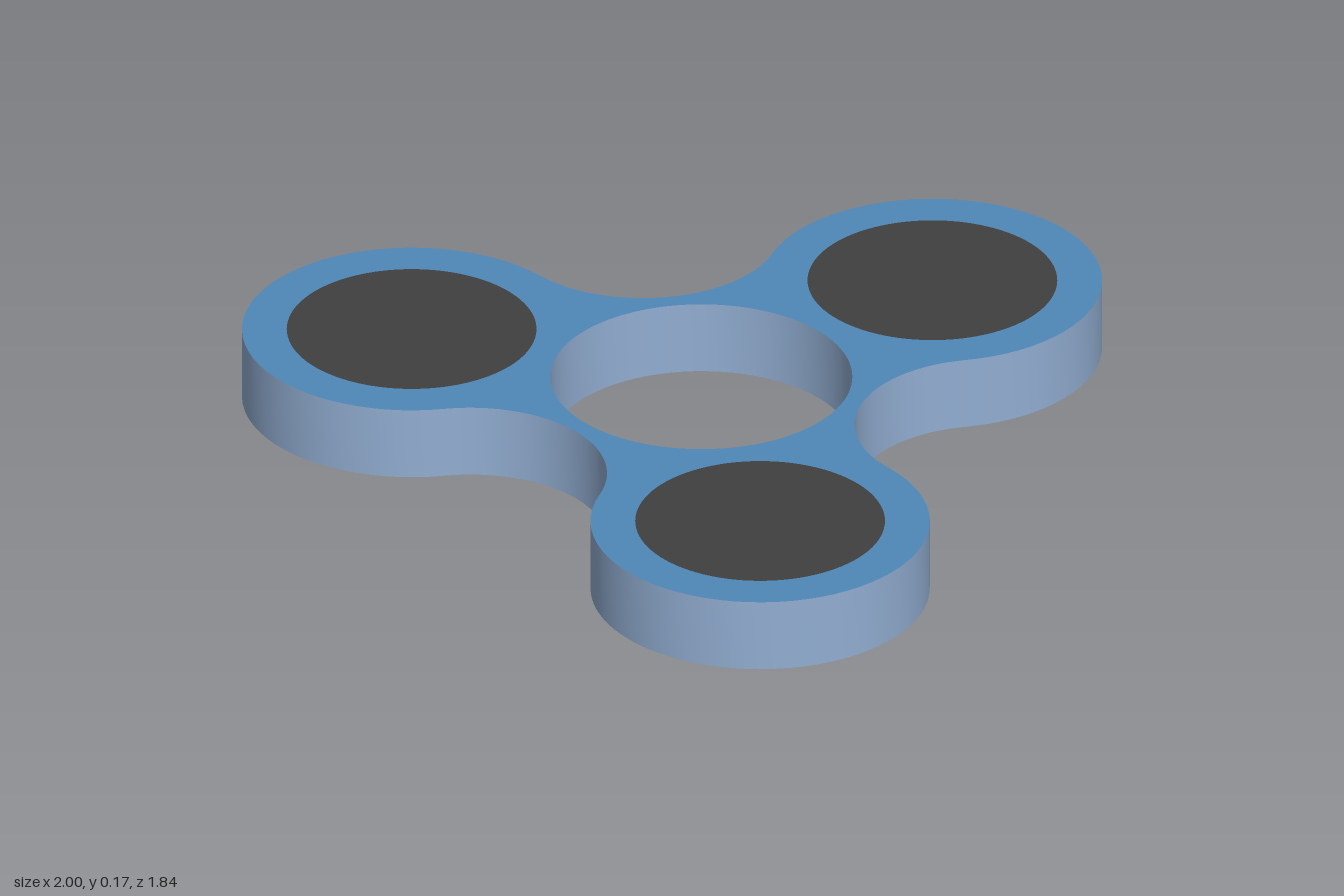
import * as THREE from 'three';
import { toCreasedNormals } from 'three/addons/utils/BufferGeometryUtils.js';

const HEIGHT = 0.175;
const REACH = 0.704;       // hub centre to lobe centre
const LOBE_R = 0.39;
const FILLET_R = REACH - LOBE_R;
const HUB = new THREE.Vector2(0, -0.176);
const rad = THREE.MathUtils.degToRad;

// Point at the lobe distance from the hub, in plan
function around(deg) {
  return new THREE.Vector2(Math.cos(rad(deg)), Math.sin(rad(deg))).multiplyScalar(REACH).add(HUB);
}

// Full circle drawn as two half arcs
function circle(path, c, r) {
  path.absarc(c.x, c.y, r, 0, Math.PI, false);
  path.absarc(c.x, c.y, r, Math.PI, Math.PI * 2, false);
  return path;
}

// Lay a plan shape flat and raise it to the full thickness
function slab(shape) {
  const geo = new THREE.ExtrudeGeometry(shape, { depth: HEIGHT, bevelEnabled: false, curveSegments: 24 });
  geo.rotateX(-Math.PI / 2);
  return toCreasedNormals(geo, 0.6);
}

export function createModel() {
  const group = new THREE.Group();
  group.name = 'spinner';

  const faceBlue = new THREE.MeshStandardMaterial({ color: 0x5088b8 });
  faceBlue.name = 'face blue';
  const edgeBlue = new THREE.MeshStandardMaterial({ color: 0x92aed2 });
  edgeBlue.name = 'edge light blue';
  const darkGrey = new THREE.MeshStandardMaterial({ color: 0x404040 });
  darkGrey.name = 'dark grey';

  // Outline: three convex lobes joined by concave tangent arcs
  const lobes = [90, 210, 330];
  const outline = new THREE.Shape();
  for (const a of lobes) {
    const c = around(a), f = around(a + 60);
    outline.absarc(c.x, c.y, LOBE_R, rad(a - 120), rad(a + 120), false);
    outline.absarc(f.x, f.y, FILLET_R, rad(a + 300), rad(a + 180), true);
  }

  // Open hub and the three weight sockets
  outline.holes.push(circle(new THREE.Path(), HUB, 0.347));
  for (const a of lobes) outline.holes.push(circle(new THREE.Path(), around(a), 0.287));

  const body = new THREE.Mesh(slab(outline), [faceBlue, edgeBlue]);
  body.name = 'body';
  group.add(body);

  // Flush round weights filling the sockets
  lobes.forEach((a, i) => {
    const weight = new THREE.Mesh(slab(circle(new THREE.Shape(), around(a), 0.287)), darkGrey);
    weight.name = 'weight' + (i + 1);
    group.add(weight);
  });

  return group;
}
